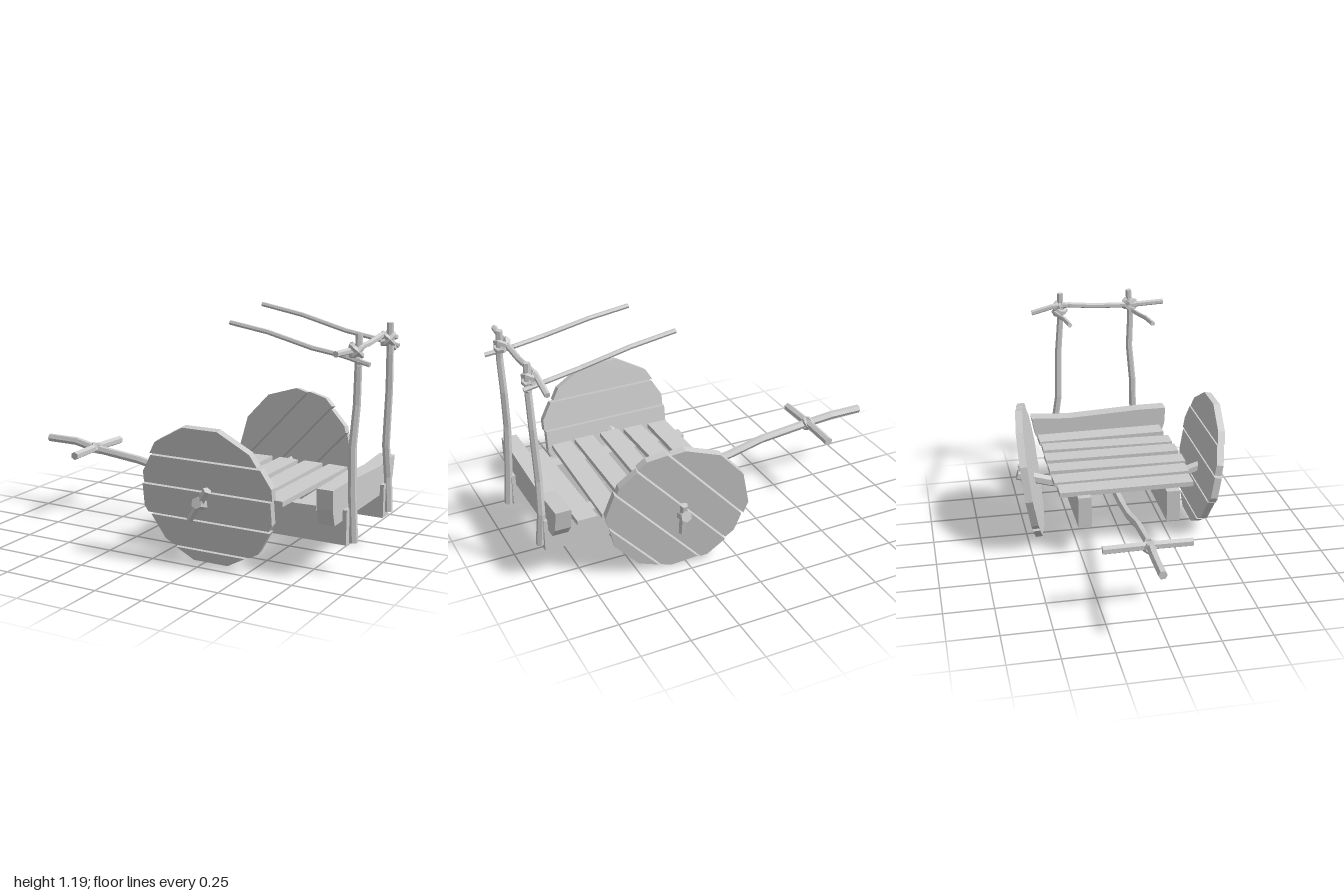
import * as THREE from 'three';

const mat = new THREE.MeshStandardMaterial({ color: 0xcccccc, flatShading: true });

function add(parent, geometry, name) {
  const mesh = new THREE.Mesh(geometry, mat);
  mesh.name = name;
  parent.add(mesh);
  return mesh;
}

// Crooked capped stick: a cylinder whose rings follow the given points
function stick(parent, name, pts, r, sides = 6, rEnd = r) {
  const curve = new THREE.CatmullRomCurve3(pts.map(p => new THREE.Vector3(...p)));
  const geo = new THREE.CylinderGeometry(rEnd, r, 1, sides, pts.length - 1);
  const pos = geo.attributes.position, up = new THREE.Vector3(0, 1, 0);
  const v = new THREE.Vector3(), q = new THREE.Quaternion();
  for (let i = 0; i < pos.count; i++) {
    const t = THREE.MathUtils.clamp(pos.getY(i) + 0.5, 0, 1);
    q.setFromUnitVectors(up, curve.getTangent(t));
    v.set(pos.getX(i), 0, pos.getZ(i)).applyQuaternion(q).add(curve.getPoint(t));
    pos.setXYZ(i, v.x, v.y, v.z);
  }
  geo.computeVertexNormals();
  return add(parent, geo, name);
}

// Rope lashing: two crossed loops around a joint
function lashing(parent, name, at, r) {
  const knot = new THREE.Group();
  knot.name = name;
  for (const s of [-1, 1]) {
    const loop = add(knot, new THREE.TorusGeometry(r, r * 0.42, 5, 8), 'ropeLoop');
    loop.rotation.set(Math.PI / 2 + s * 0.5, s * 0.6, 0);
  }
  knot.position.set(...at);
  parent.add(knot);
  return knot;
}

// Disc wheel: a twelve-sided outline cut into parallel planks
function wheel(name) {
  const group = new THREE.Group();
  group.name = name;
  const R = 0.357, depth = 0.038, gap = 0.005;
  const rim = [-75, -45, -15, 15, 45, 75].map(a => {
    const t = THREE.MathUtils.degToRad(a);
    return [R * Math.cos(t), R * Math.sin(t)];
  });
  const halfWidth = y => {
    let i = 0;
    while (i < 4 && y > rim[i + 1][1]) i++;
    const [a, b] = [rim[i], rim[i + 1]];
    return a[0] + (b[0] - a[0]) * (y - a[1]) / (b[1] - a[1]);
  };
  const cuts = [rim[0][1], -0.285, -0.128, 0.03, 0.187, rim[5][1]];
  for (let i = 0; i < 5; i++) {
    const lo = cuts[i] + (i ? gap : 0), hi = cuts[i + 1] - (i < 4 ? gap : 0);
    const ys = [lo, ...rim.map(p => p[1]).filter(y => y > lo + 1e-4 && y < hi - 1e-4), hi];
    const right = ys.map(y => new THREE.Vector2(halfWidth(y), y));
    const left = ys.map(y => new THREE.Vector2(-halfWidth(y), y)).reverse();
    const geo = new THREE.ExtrudeGeometry(new THREE.Shape([...right, ...left]), { depth, bevelEnabled: false });
    geo.translate(i % 2 ? 0.006 : -0.004, 0, -depth / 2);
    add(group, geo, 'wheelPlank');
  }
  return group;
}

export function createModel() {
  const cart = new THREE.Group();
  cart.name = 'handcart';

  // Bed: two side rails and six uneven planks
  for (const [z, y] of [[0.243, 0.248], [-0.226, 0.253]]) {
    add(cart, new THREE.BoxGeometry(0.97, 0.17, 0.07), 'sideRail').position.set(0.435, y, z);
  }
  const planks = [ // x, z, length, turn
    [0.04, 0.005, 0.71, 0.005], [0.175, 0.005, 0.73, 0.014], [0.315, 0.012, 0.745, -0.012],
    [0.46, 0.01, 0.74, -0.006], [0.595, 0.01, 0.73, -0.025], [0.74, 0, 0.72, 0.02]];
  for (const [x, z, len, turn] of planks) {
    const p = add(cart, new THREE.BoxGeometry(0.105, 0.026, len), 'bedPlank');
    p.position.set(x, 0.347, z);
    p.rotation.set(0, turn, turn * 0.8);
  }

  // End board with worn corners, outlined in z and y
  const outline = [[0.37, 0.28], [0.395, 0.36], [0.4, 0.455], [0.25, 0.455], [-0.17, 0.435],
    [-0.385, 0.448], [-0.365, 0.34], [-0.32, 0.285]];
  const board = new THREE.ExtrudeGeometry(
    new THREE.Shape(outline.map(([z, y]) => new THREE.Vector2(-z, y))), { depth: 0.08, bevelEnabled: false });
  board.rotateY(Math.PI / 2);
  add(cart, board, 'endBoard').position.x = 0.82;

  // Bent axle
  stick(cart, 'axle', [[0.275, 0.345, 0.55], [0.275, 0.285, 0.36], [0.28, 0.262, 0.18], [0.283, 0.255, 0],
    [0.286, 0.262, -0.18], [0.29, 0.295, -0.36], [0.295, 0.345, -0.535]], 0.029, 6);

  // Leaning wheels and their linchpins
  const frontWheel = wheel('frontWheel');
  frontWheel.position.set(0.295, 0.362, 0.478);
  frontWheel.rotation.x = 0.16;
  const backWheel = wheel('backWheel');
  backWheel.position.set(0.31, 0.36, -0.463);
  backWheel.rotation.set(-0.14, -0.15, 0.82);
  cart.add(frontWheel, backWheel);
  stick(cart, 'linchpin', [[0.215, 0.24, 0.51], [0.325, 0.41, 0.535]], 0.016, 5, 0.022);
  stick(cart, 'linchpin', [[0.295, 0.225, -0.485], [0.298, 0.4, -0.515]], 0.017, 5, 0.02);

  // Draught pole with lashed cross handle
  stick(cart, 'draughtPole', [[-1, 0.385, -0.035], [-0.82, 0.385, -0.035], [-0.67, 0.362, -0.02],
    [-0.4, 0.335, -0.02], [-0.2, 0.292, -0.026], [-0.04, 0.275, -0.028], [0.25, 0.268, -0.03]], 0.022, 6);
  stick(cart, 'crossHandle', [[-0.68, 0.367, 0.185], [-0.682, 0.37, -0.03], [-0.678, 0.365, -0.25]], 0.022, 6);
  lashing(cart, 'handleLashing', [-0.68, 0.365, -0.025], 0.028).rotation.z = Math.PI / 2;

  // Upright posts
  stick(cart, 'post', [[0.94, 0.168, 0.232], [0.925, 0.4, 0.228], [0.917, 0.62, 0.222], [0.925, 0.82, 0.205],
    [0.93, 1.0, 0.213], [0.925, 1.15, 0.2]], 0.021, 6, 0.017);
  stick(cart, 'post', [[0.935, 0.195, -0.23], [0.922, 0.37, -0.24], [0.915, 0.54, -0.215], [0.925, 0.82, -0.207],
    [0.928, 1.0, -0.192], [0.925, 1.15, -0.19]], 0.021, 6, 0.017);

  // Canopy crossbar and the two long poles
  stick(cart, 'canopyCrossbar', [[0.893, 1.08, 0.393], [0.895, 1.07, 0.2], [0.897, 1.075, 0],
    [0.895, 1.09, -0.15], [0.893, 1.085, -0.24], [0.893, 1.055, -0.358]], 0.015, 6);
  stick(cart, 'canopyPole', [[0.21, 1.187, -0.247], [0.44, 1.148, -0.24], [0.68, 1.088, -0.228],
    [0.84, 1.06, -0.23], [0.96, 1.035, -0.225]], 0.012, 6);
  stick(cart, 'canopyPole', [[0.26, 1.152, 0.195], [0.465, 1.122, 0.202], [0.7, 1.068, 0.218],
    [0.85, 1.045, 0.215], [0.995, 1.018, 0.238]], 0.012, 6);

  // Rope lashings on the posts with loose ends
  for (const [z, s] of [[0.205, 1], [-0.193, -1]]) {
    lashing(cart, 'postLashing', [0.915, 1.07, z], 0.034);
    stick(cart, 'ropeEnd', [[0.9, 1.08, z - s * 0.03], [0.89, 1.1, z]], 0.012, 5);
    stick(cart, 'ropeEnd', [[0.92, 1.06, z], [0.945, 1.02, z + s * 0.03]], 0.012, 5);
  }
  return cart;
}
